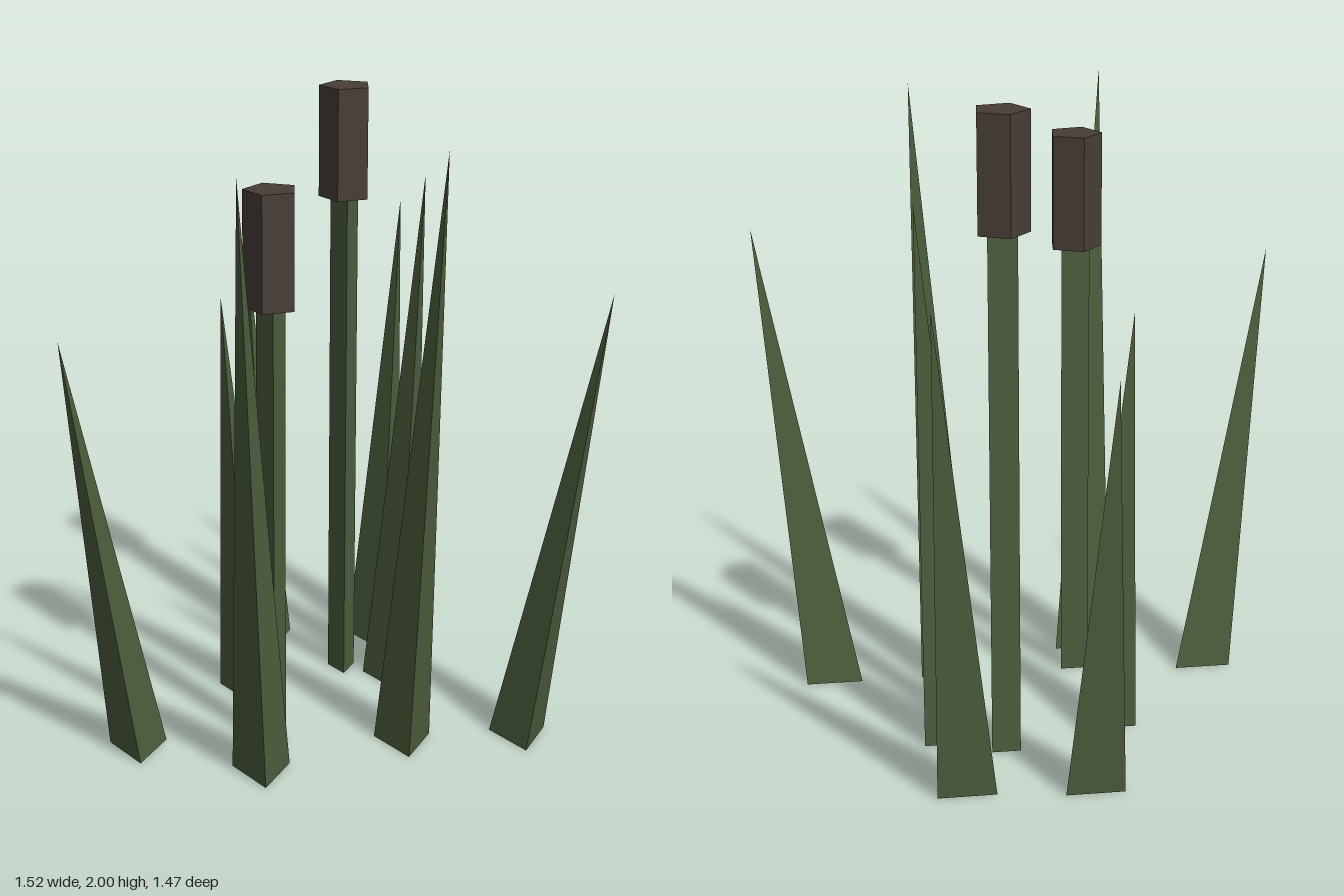
import * as THREE from 'three';

export function createModel() {
  const model = new THREE.Group();
  model.name = 'reeds';
  const green = new THREE.MeshStandardMaterial({ color: 0x4d5e3d, flatShading: true });
  green.name = 'leaf green';
  const brown = new THREE.MeshStandardMaterial({ color: 0x473e38, flatShading: true });
  brown.name = 'seed head brown';

  // Upright prism with one corner towards +x
  function prism(name, radius, sides, x, z, y0, y1, material) {
    const geometry = new THREE.CylinderGeometry(radius, radius, y1 - y0, sides, 1, false, Math.PI / 2);
    const mesh = new THREE.Mesh(geometry, material);
    mesh.name = name;
    mesh.position.set(x, (y0 + y1) / 2, z);
    return mesh;
  }

  // Three-sided spike on a level base, sheared so its tip leans by (dx, dz)
  function blade(x, z, height, dx, dz) {
    const geometry = new THREE.ConeGeometry(0.103, height, 3, 1, false, Math.PI / 2);
    geometry.translate(0, height / 2, 0);
    const shear = new THREE.Matrix4().set(
      1, dx / height, 0, 0,
      0, 1, 0, 0,
      0, dz / height, 1, 0,
      0, 0, 0, 1);
    geometry.applyMatrix4(shear);
    geometry.computeVertexNormals();
    const mesh = new THREE.Mesh(geometry, green);
    mesh.name = 'blade';
    mesh.position.set(x, 0, z);
    return mesh;
  }

  // Blades: base x, base z, height, tip x, tip z
  const blades = [
    [-0.523, -0.124, 1.385, -0.76, -0.134],
    [-0.300, 0.237, 1.925, -0.46, 0.352],
    [0.000, -0.267, 1.36, -0.056, -0.325],
    [0.290, -0.570, 1.33, 0.337, -0.735],
    [0.602, -0.351, 1.535, 0.757, -0.437],
    [0.445, -0.061, 1.72, 0.544, -0.05],
    [0.180, 0.338, 1.94, 0.187, 0.488],
    [0.506, 0.522, 1.495, 0.625, 0.733],
  ];
  for (const [x, z, height, tipX, tipZ] of blades) {
    model.add(blade(x, z, height, tipX - x, tipZ - z));
  }

  // Cattails: x, z, bottom of the head, top of the head
  for (const [x, z, low, high] of [[-0.167, 0.106, 1.445, 1.803], [0.357, -0.221, 1.645, 2]]) {
    const cattail = new THREE.Group();
    cattail.name = 'cattail';
    cattail.add(prism('stalk', 0.051, 3, x, z, 0, low + 0.02, green));
    cattail.add(prism('seedHead', 0.0845, 5, x, z, low, high, brown));
    model.add(cattail);
  }
  return model;
}
